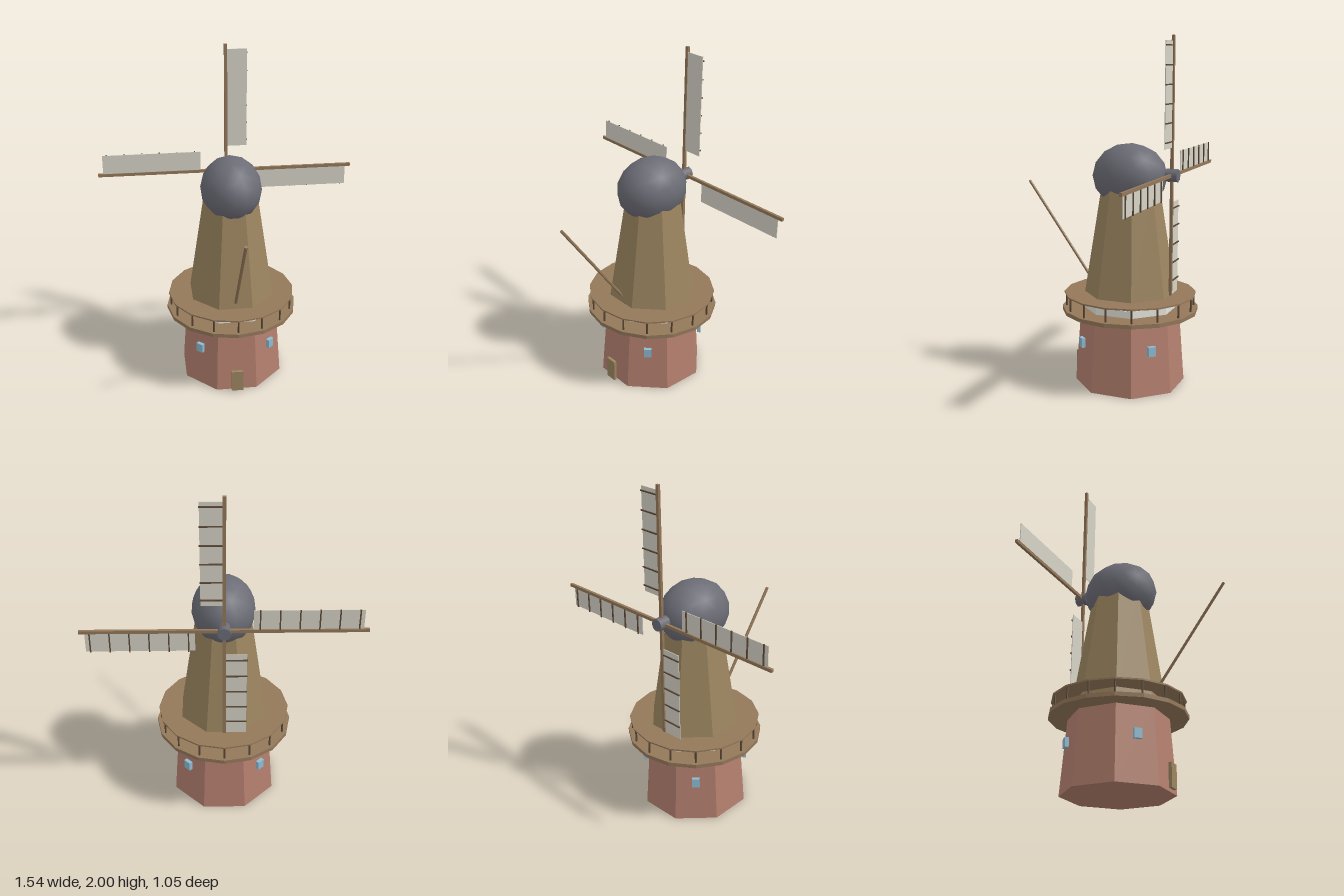
import * as THREE from 'three';

const mat = (color, extra = {}) => new THREE.MeshStandardMaterial({ color, ...extra });
const brick = mat(0xb5806f, { flatShading: true });
const boards = mat(0x9c8560, { flatShading: true });
const wood = mat(0x94785a, { flatShading: true });
const darkWood = mat(0x5c4a38, { flatShading: true });
const white = mat(0xdfe0d6, { flatShading: true });
const canvas = mat(0xd6d3c6);
const glass = mat(0x8fbcd2);
const slate = mat(0x6c6c76);

const AXIS_Z = -0.13; // centre line of the tower
const SAIL_Z = -0.377; // plane of the sails
const HUB_Y = 1.23;

function add(parent, name, geometry, material, x = 0, y = 0, z = 0) {
  const mesh = new THREE.Mesh(geometry, material);
  mesh.name = name;
  mesh.position.set(x, y, z);
  parent.add(mesh);
  return mesh;
}

// Octagonal frustum with flat faces to the front and sides, sized by half width
function octagon(parent, name, material, y0, y1, half0, half1) {
  const k = 1 / Math.cos(Math.PI / 8);
  const g = new THREE.CylinderGeometry(half1 * k, half0 * k, y1 - y0, 8);
  g.rotateY(Math.PI / 8);
  return add(parent, name, g, material, 0, (y0 + y1) / 2, 0);
}

function disc(parent, name, material, y0, y1, r0, r1) {
  return add(parent, name, new THREE.CylinderGeometry(r1, r0, y1 - y0, 16), material, 0, (y0 + y1) / 2, 0);
}

function createTower() {
  const tower = new THREE.Group();
  tower.name = 'tower';
  tower.position.z = AXIS_Z;

  octagon(tower, 'brickBase', brick, 0, 0.44, 0.295, 0.264);
  octagon(tower, 'whiteBand', white, 0.44, 0.492, 0.26, 0.256);
  octagon(tower, 'boardedTower', boards, 0.492, 1.18, 0.25, 0.15);

  // Rounded cap, longer from front to back
  const cap = add(tower, 'cap', new THREE.IcosahedronGeometry(1, 2), slate, 0, 1.215, 0.005);
  cap.scale.set(0.18, 0.188, 0.219);

  // Windows on the diagonal faces
  for (let i = 0; i < 4; i++) {
    const a = Math.PI / 4 + (i * Math.PI) / 2;
    const win = add(tower, 'window', new THREE.BoxGeometry(0.045, 0.055, 0.022), glass,
      0.3 * Math.sin(a), 0.264, 0.3 * Math.cos(a));
    win.rotation.y = a;
  }
  return tower;
}

function createGallery() {
  const gallery = new THREE.Group();
  gallery.name = 'gallery';
  gallery.position.z = AXIS_Z;
  disc(gallery, 'deck', wood, 0.43, 0.453, 0.395, 0.395);
  disc(gallery, 'railTop', wood, 0.529, 0.538, 0.383, 0.383);
  for (let i = 0; i < 16; i++) {
    const a = (i * Math.PI) / 8;
    add(gallery, 'railPost', new THREE.CylinderGeometry(0.006, 0.006, 0.08, 6), darkWood,
      0.37 * Math.sin(a), 0.492, 0.37 * Math.cos(a));
  }
  return gallery;
}

// One sail pointing up: spar, cloth beside it and rungs on the back
function createSail() {
  const sail = new THREE.Group();
  sail.name = 'sail';
  add(sail, 'spar', new THREE.BoxGeometry(0.018, 0.77, 0.016), wood, 0, 0.385, 0);
  add(sail, 'cloth', new THREE.BoxGeometry(0.117, 0.585, 0.004), canvas, 0.0655, 0.4475, 0.002);
  for (let i = 0; i < 6; i++) {
    add(sail, 'rung', new THREE.BoxGeometry(0.126, 0.007, 0.007), darkWood, 0.064, 0.19 + i * 0.105, -0.003);
  }
  return sail;
}

function createSails() {
  const sails = new THREE.Group();
  sails.name = 'sails';
  sails.position.set(0, HUB_Y, SAIL_Z);
  const hub = new THREE.CylinderGeometry(0.037, 0.037, 0.07, 8).rotateX(Math.PI / 2);
  add(sails, 'hub', hub, slate, 0, 0, -0.003);
  for (let i = 0; i < 4; i++) {
    const sail = createSail();
    sail.rotation.z = (-i * Math.PI) / 2;
    sails.add(sail);
  }
  return sails;
}

export function createModel() {
  const model = new THREE.Group();
  model.name = 'windmill';
  model.add(createTower(), createGallery(), createSails());

  add(model, 'door', new THREE.BoxGeometry(0.07, 0.135, 0.018), boards, 0, 0.077, 0.19);

  // Tail pole sloping up and away from the front of the tower
  const low = new THREE.Vector3(0, 0.57, 0.1);
  const high = new THREE.Vector3(0, 1.155, 0.52);
  const dir = high.clone().sub(low);
  const pole = add(model, 'tailPole', new THREE.CylinderGeometry(0.009, 0.009, dir.length(), 6), wood);
  pole.position.copy(low).add(high).multiplyScalar(0.5);
  pole.quaternion.setFromUnitVectors(new THREE.Vector3(0, 1, 0), dir.normalize());

  return model;
}
